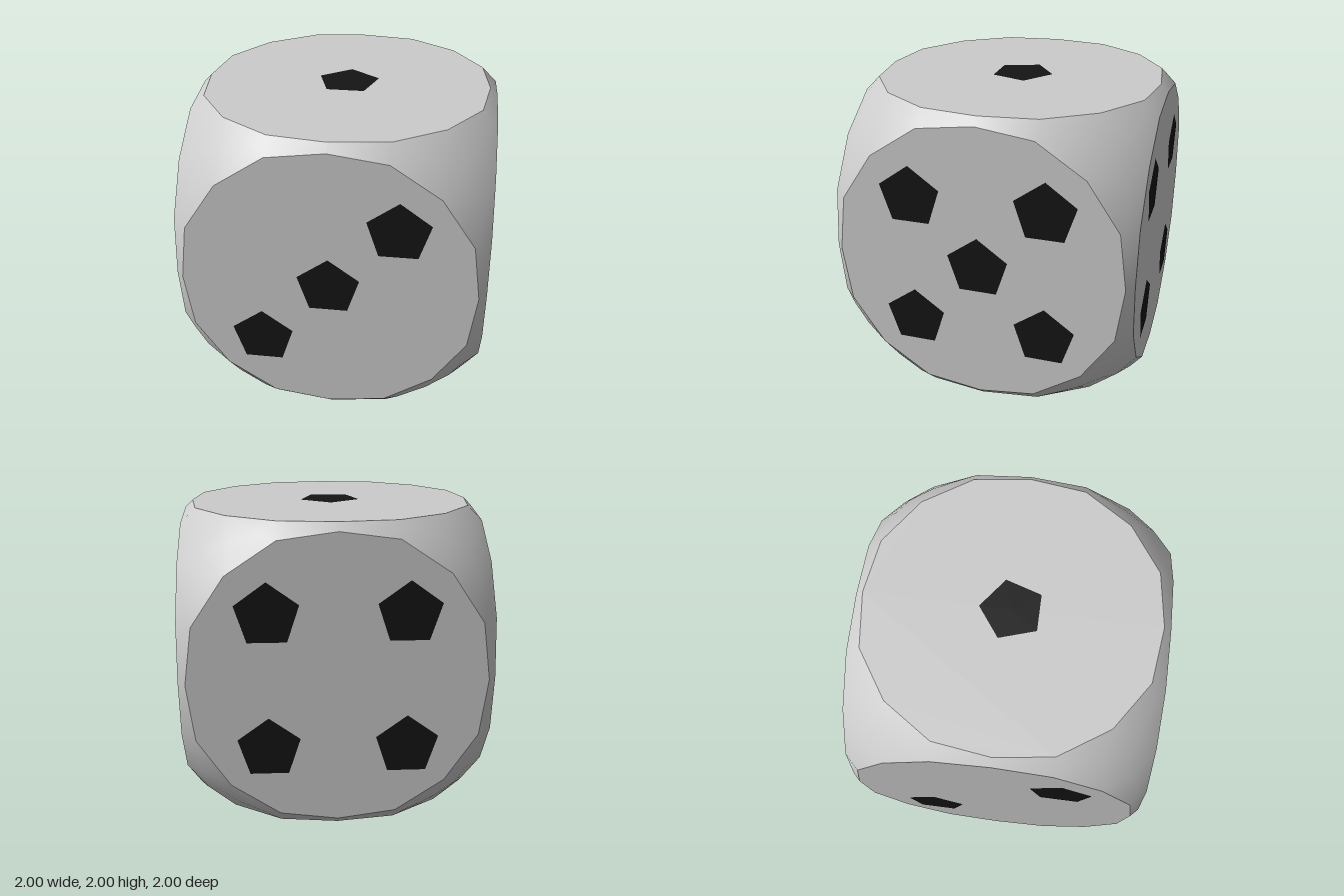
import * as THREE from 'three';
import { ConvexGeometry } from 'three/addons/geometries/ConvexGeometry.js';

const HALF = 1, SPHERE = 1.397, SPACING = 0.44;

// Orientation of each face (turned from the front) and its pips, in steps of SPACING
const FACES = [
  { name: 'front', turn: [0, 0, 0], pips: [[-1, -1], [0, 0], [1, 1]] },
  { name: 'right', turn: [0, Math.PI / 2, 0], pips: [[-1, -1], [-1, 1], [0, 0], [1, -1], [1, 1]] },
  { name: 'back', turn: [0, Math.PI, 0], pips: [[-1, -1], [-1, 1], [1, -1], [1, 1]] },
  { name: 'left', turn: [0, -Math.PI / 2, 0], pips: [[-1, -1], [1, 1]] },
  { name: 'top', turn: [-Math.PI / 2, 0, 0], pips: [[0, 0]] },
  { name: 'bottom', turn: [Math.PI / 2, 0, Math.PI], pips: [[-1, -1], [-1, 0], [-1, 1], [1, -1], [1, 0], [1, 1]] },
];

// Cube rounded by a sphere: flat 16-sided faces, smooth corners
function bodyGeometry() {
  const points = [];
  for (const { turn } of FACES) {
    const euler = new THREE.Euler(...turn);
    for (let i = 0; i < 16; i++) {
      const a = (i * Math.PI) / 8, r = i % 4 ? 0.974 : 0.95;
      points.push(new THREE.Vector3(Math.cos(a) * r, Math.sin(a) * r, HALF).applyEuler(euler));
    }
  }
  // Sphere points on the eight corners
  for (let i = 2; i <= 4; i++) for (let j = 2; j <= 4; j++) for (let k = 2; k <= 4; k++) {
    const p = new THREE.Vector3(i, j, k).setLength(SPHERE);
    if (Math.max(i, j, k) < 4 || Math.max(p.x, p.y, p.z) > 0.95) continue;
    for (const x of [-1, 1]) for (const y of [-1, 1]) for (const z of [-1, 1]) {
      points.push(new THREE.Vector3(p.x * x, p.y * y, p.z * z));
    }
  }
  const geometry = new ConvexGeometry(points);
  // Round normals everywhere except on the six flat faces
  const pos = geometry.attributes.position, normal = geometry.attributes.normal;
  const n = new THREE.Vector3();
  for (let i = 0; i < pos.count; i++) {
    n.fromBufferAttribute(normal, i);
    if (Math.max(Math.abs(n.x), Math.abs(n.y), Math.abs(n.z)) > 0.999) continue;
    n.fromBufferAttribute(pos, i).normalize();
    normal.setXYZ(i, n.x, n.y, n.z);
  }
  return geometry;
}

export function createModel() {
  const model = new THREE.Group();
  model.name = 'die';

  const body = new THREE.Mesh(bodyGeometry(), new THREE.MeshStandardMaterial({ color: 0xcccccc }));
  body.name = 'body';
  body.position.y = HALF;
  model.add(body);

  // Five-sided pips
  const pipGeometry = new THREE.CircleGeometry(0.21, 5, Math.PI / 2);
  const pipMaterial = new THREE.MeshStandardMaterial({ color: 0x141414 });
  for (const { name, turn, pips } of FACES) {
    const face = new THREE.Group();
    face.name = `${name}Pips`;
    face.position.y = HALF;
    face.rotation.set(...turn);
    for (const [u, v] of pips) {
      const pip = new THREE.Mesh(pipGeometry, pipMaterial);
      pip.name = 'pip';
      pip.position.set(u * SPACING, v * SPACING, HALF + 0.002);
      face.add(pip);
    }
    model.add(face);
  }
  return model;
}
